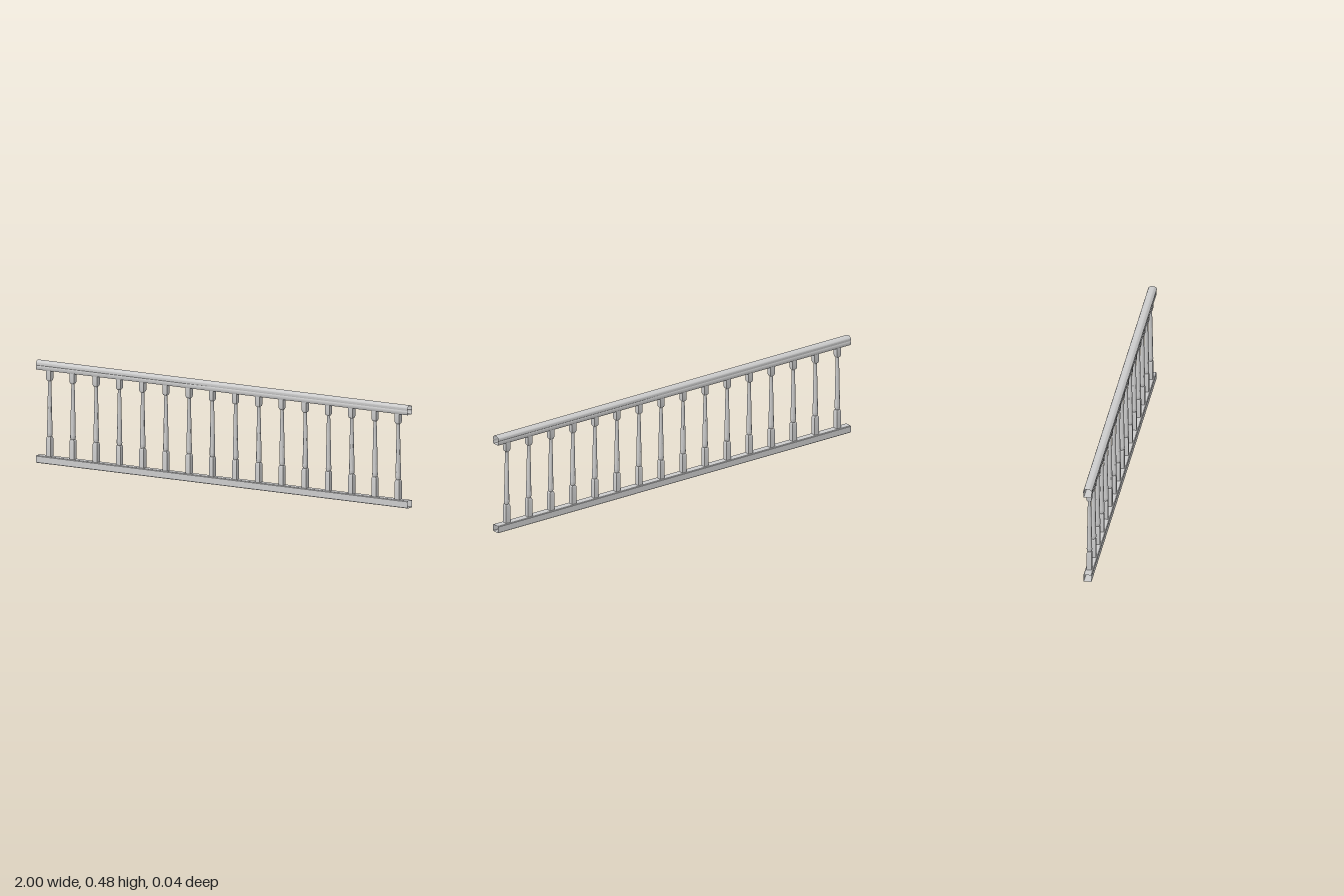
import * as THREE from 'three';
import { toCreasedNormals } from 'three/addons/utils/BufferGeometryUtils.js';

const material = new THREE.MeshStandardMaterial({ color: 0xcccccc, side: THREE.DoubleSide });
const vectors = (points) => points.map(([x, y]) => new THREE.Vector2(x, y));

// Open-ended rail: half profile [z, y] from bottom to top, mirrored and swept along x.
function railGeometry(half) {
  const mirrored = half.map(([z, y]) => [-z, y]).reverse();
  const profile = [...half, ...mirrored];
  const positions = [];
  profile.forEach(([z0, y0], i) => {
    const [z1, y1] = profile[(i + 1) % profile.length];
    positions.push(-1, y0, z0, 1, y0, z0, 1, y1, z1);
    positions.push(-1, y0, z0, 1, y1, z1, -1, y1, z1);
  });
  const geometry = new THREE.BufferGeometry();
  geometry.setAttribute('position', new THREE.Float32BufferAttribute(positions, 3));
  return toCreasedNormals(geometry, 0.6);
}

// Square block with tapered shoulders: profile [half width, y].
function blockGeometry(profile) {
  const points = vectors(profile.map(([w, y]) => [w * Math.SQRT2, y]));
  return toCreasedNormals(new THREE.LatheGeometry(points, 4, Math.PI / 4).toNonIndexed(), 0.5);
}

export function createModel() {
  const group = new THREE.Group();
  const add = (name, geometry, parent = group) => {
    const mesh = new THREE.Mesh(geometry, material);
    mesh.name = name;
    parent.add(mesh);
    return mesh;
  };

  // Rails
  add('handrail', railGeometry([
    [0.017, 0.436], [0.019, 0.439], [0.019, 0.452], [0.017, 0.456], [0.02, 0.461],
    [0.02, 0.467], [0.017, 0.473], [0.011, 0.477], [0.004, 0.479],
  ]));
  add('bottomRail', railGeometry([[0.017, 0], [0.019, 0.002], [0.019, 0.031], [0.016, 0.034]]));

  // Baluster parts, shared by every baluster
  const lowerBlock = blockGeometry([
    [0.012, 0.033], [0.012, 0.117], [0.011, 0.122], [0.0085, 0.127], [0, 0.127],
  ]);
  const upperBlock = blockGeometry([
    [0, 0.387], [0.007, 0.387], [0.01, 0.39], [0.012, 0.397], [0.012, 0.436],
  ]);
  const spindle = toCreasedNormals(new THREE.LatheGeometry(vectors([
    [0.009, 0.124], [0.0105, 0.128], [0.0125, 0.133], [0.013, 0.138], [0.0125, 0.146],
    [0.0122, 0.16], [0.0115, 0.2], [0.0095, 0.3], [0.0075, 0.382], [0.0085, 0.389],
  ]), 12).toNonIndexed(), 0.7);

  // Row of balusters
  const count = 16;
  for (let i = 0; i < count; i++) {
    const baluster = new THREE.Group();
    baluster.name = `baluster${i + 1}`;
    baluster.position.x = (i - (count - 1) / 2) * 0.125;
    add('lowerBlock', lowerBlock, baluster);
    add('spindle', spindle, baluster);
    add('upperBlock', upperBlock, baluster);
    group.add(baluster);
  }
  return group;
}
